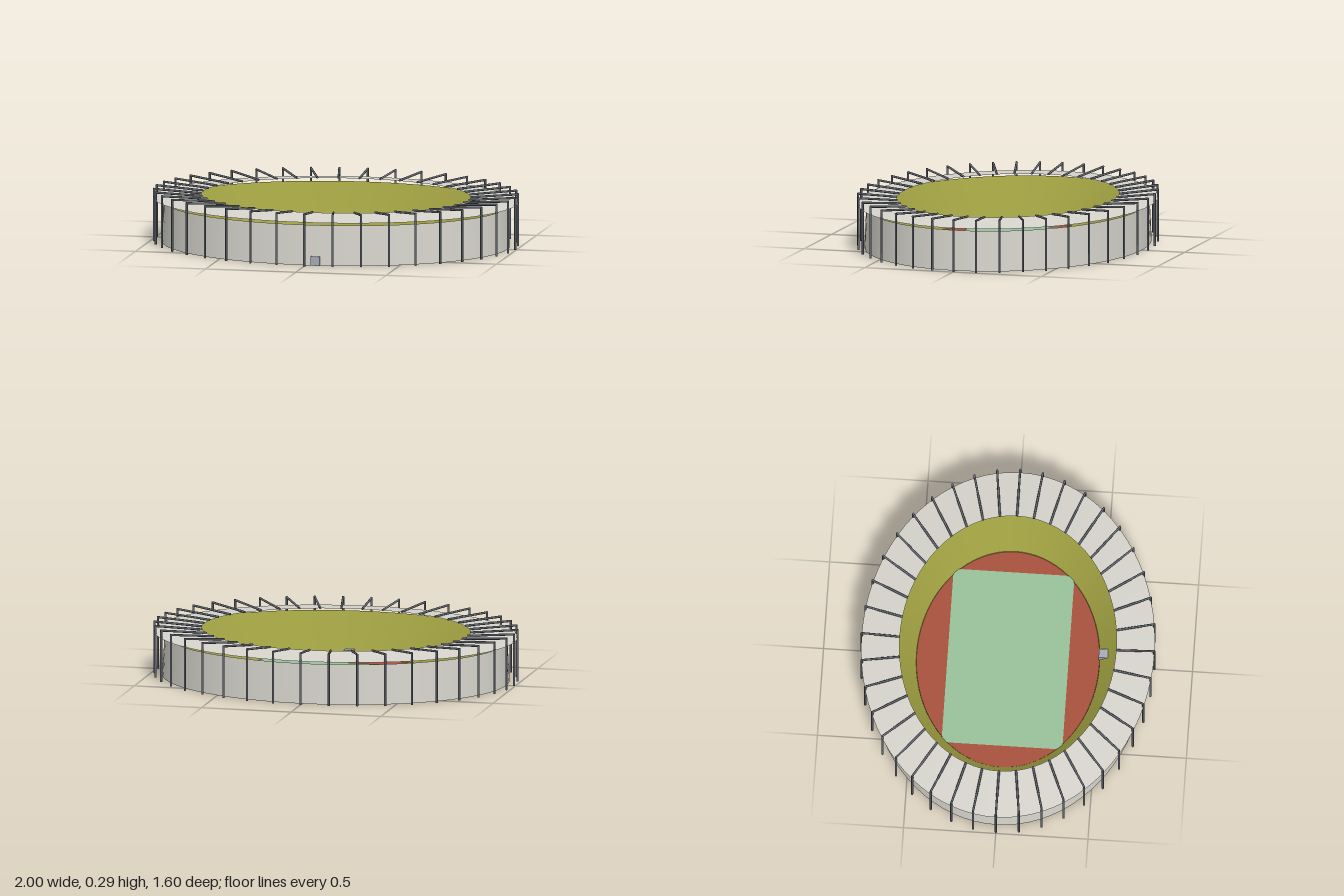
import * as THREE from 'three';

const SQUASH = 0.798; // depth of the ellipse relative to its width
const FRAMES = 40;

const mat = (name, color, side = THREE.FrontSide) => {
  const m = new THREE.MeshStandardMaterial({ color, side });
  m.name = name;
  return m;
};

export function createModel() {
  const group = new THREE.Group();
  const concrete = mat('concrete', 0xd6d4cc, THREE.DoubleSide);
  const seating = mat('olive seating', 0x99993f, THREE.DoubleSide);
  const clay = mat('red track', 0xa9523f);
  const grass = mat('green grass', 0x98c29b);
  const steel = mat('dark steel', 0x636870);
  const tunnelGrey = mat('tunnel grey', 0xa6acb5);

  const add = (parent, name, geometry, material) => {
    const mesh = new THREE.Mesh(geometry, material);
    mesh.name = name;
    parent.add(mesh);
    return mesh;
  };

  // elliptical shell swept from a (radius, height) profile
  const shell = (name, profile, material) => {
    const pts = profile.map(([r, y]) => new THREE.Vector2(r, y));
    const geo = new THREE.LatheGeometry(pts, 80).scale(1, 1, SQUASH);
    return add(group, name, geo, material);
  };

  shell('outerWall', [[0.95, 0], [0.938, 0.22]], concrete);
  shell('seatingBowl', [[0.938, 0.22], [0.622, 0.014]], seating);
  shell('seatingKerb', [[0.622, 0.014], [0.62, 0]], seating);
  shell('roof', [[0.995, 0.24], [0.735, 0.262]], concrete);

  // ground inside the bowl
  const track = new THREE.CylinderGeometry(0.62, 0.62, 0.009, 80);
  track.scale(1, 1, SQUASH).translate(0, 0.0055, 0);
  add(group, 'track', track, clay);
  const pitch = new THREE.PlaneGeometry(1, 0.655).rotateX(-Math.PI / 2).translate(0, 0.016, 0);
  add(group, 'pitch', pitch, grass);

  // entrance tunnel under the front stand
  add(group, 'entranceTunnel', new THREE.BoxGeometry(0.05, 0.05, 0.276).translate(0.055, 0.025, 0.627), tunnelGrey);

  // straight round bar between two points
  const bar = (parent, name, a, b) => {
    const dir = b.clone().sub(a);
    const mesh = add(parent, name, new THREE.CylinderGeometry(0.006, 0.006, dir.length(), 8), steel);
    mesh.position.copy(a).add(b).multiplyScalar(0.5);
    mesh.quaternion.setFromUnitVectors(new THREE.Vector3(0, 1, 0), dir.normalize());
  };

  // ring of posts, each carrying a sloping roof beam
  for (let i = 0; i < FRAMES; i++) {
    const t = (i / FRAMES) * Math.PI * 2;
    const at = (r, y) => new THREE.Vector3(r * Math.sin(t), y, r * SQUASH * Math.cos(t));
    const frame = new THREE.Group();
    frame.name = 'roofFrame';
    bar(frame, 'post', at(0.993, 0), at(0.993, 0.288));
    bar(frame, 'roofBeam', at(0.996, 0.284), at(0.735, 0.264));
    group.add(frame);
  }

  return group;
}
